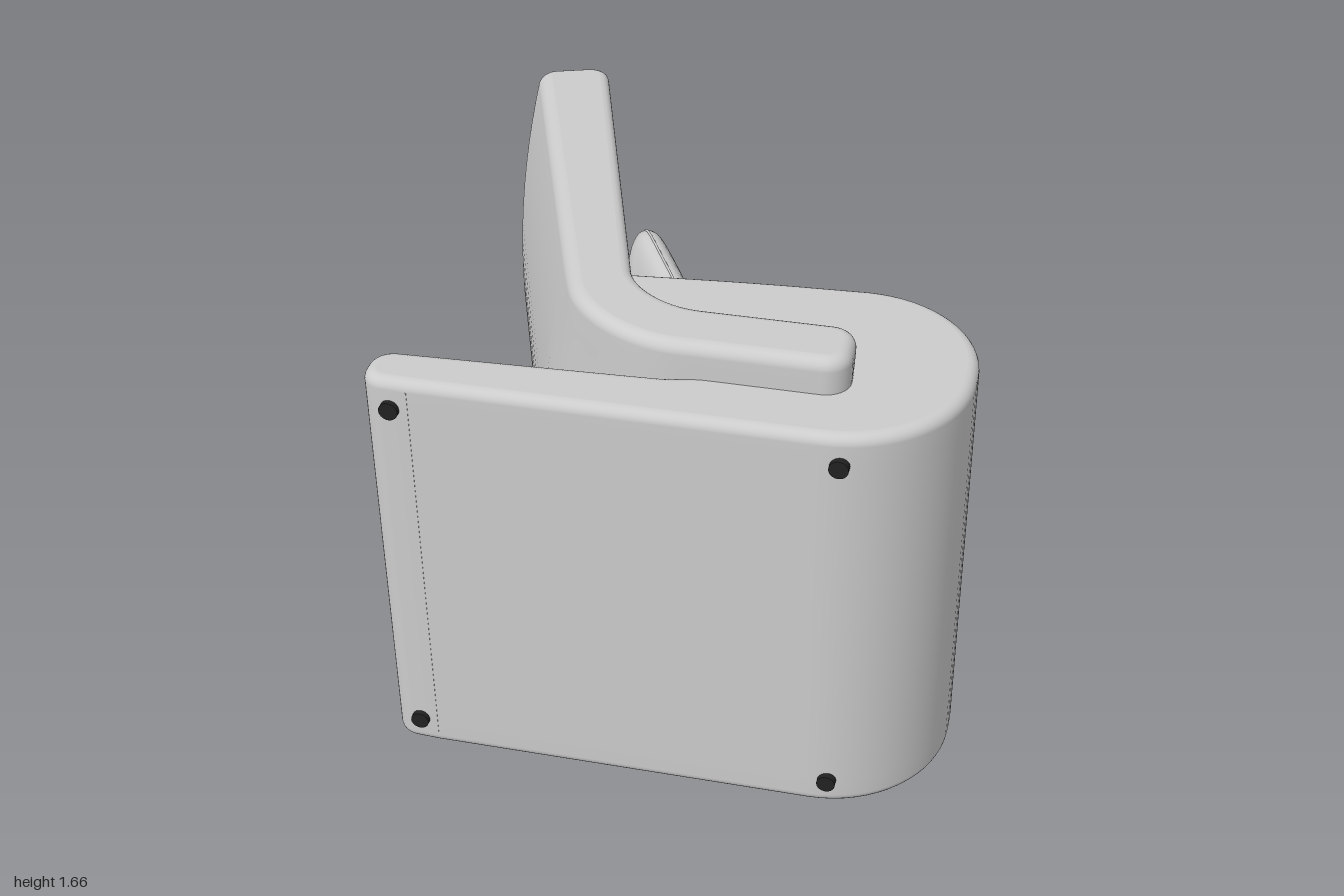
import * as THREE from 'three';
import { mergeVertices } from 'three/addons/utils/BufferGeometryUtils.js';

const fabric = new THREE.MeshStandardMaterial({ color: 0xcccccc });
fabric.name = 'light grey upholstery';
const rubber = new THREE.MeshStandardMaterial({ color: 0x222222 });
rubber.name = 'black feet';

// Closed outline in (x, z) from corners [x, z, rounding], with even spacing.
function roundedOutline(corners) {
  const n = corners.length, pts = [];
  const V = c => new THREE.Vector2(c[0], c[1]);
  const add = p => {
    const last = pts[pts.length - 1];
    if (last) {
      const steps = Math.ceil(last.distanceTo(p) / 0.06);
      if (last.distanceTo(p) < 1e-4) return;
      for (let s = 1; s < steps; s++) pts.push(last.clone().lerp(p, s / steps));
    }
    pts.push(p);
  };
  corners.forEach((c, i) => {
    const p = V(c), r = c[2];
    if (!r) return add(p);
    const toward = q => q.sub(p).normalize().multiplyScalar(r).add(p);
    const a = toward(V(corners[(i + n - 1) % n])), b = toward(V(corners[(i + 1) % n]));
    const arc = new THREE.CubicBezierCurve(a, a.clone().lerp(p, 0.55), b.clone().lerp(p, 0.55), b);
    arc.getPoints(r > 0.15 ? 16 : 8).forEach(add);
  });
  add(pts[0].clone());
  pts.pop();
  return THREE.ShapeUtils.isClockWise(pts) ? pts.reverse() : pts;
}

// Upholstered slab: outline swept along y with rounded rims and a bulge rule.
function cushionSlab(corners, centre, half, rim, bulge) {
  const outline = roundedOutline(corners), n = outline.length;
  const inward = outline.map((p, i) => {
    const t = outline[(i + 1) % n].clone().sub(outline[(i + n - 1) % n]).normalize();
    return new THREE.Vector2(-t.y, t.x);
  });
  const stations = [];
  const R = 6, M = 20;
  for (let k = 0; k <= R; k++) {
    const a = (1 - k / R) * Math.PI / 2;
    stations.push([half - rim + rim * Math.sin(a), rim * (1 - Math.cos(a))]);
  }
  for (let k = 1; k < M; k++) stations.push([(half - rim) * (1 - 2 * k / M), 0]);
  for (let k = R; k >= 0; k--) stations.push([-stations[k][0], stations[k][1]]);

  const pos = [], idx = [];
  const ring = ([y, inset]) => outline.forEach((p, i) => {
    const x = p.x + inward[i].x * inset, z = p.y + inward[i].y * inset;
    const [dx, dz] = bulge(x, z, 1 - (y / half) ** 2);
    pos.push(x + dx, centre + y, z + dz);
  });
  stations.forEach(ring);
  for (let k = 0; k < stations.length - 1; k++) {
    for (let i = 0; i < n; i++) {
      const j = (i + 1) % n, a = k * n + i, b = k * n + j;
      idx.push(a, b, b + n, a, b + n, a + n);
    }
  }
  // Flat end faces
  const rims = outline.map((p, i) => p.clone().addScaledVector(inward[i], rim));
  const faces = THREE.ShapeUtils.triangulateShape(rims, []);
  [stations[0], stations[stations.length - 1]].forEach((s, e) => {
    const base = pos.length / 3;
    ring(s);
    faces.forEach(([a, b, c]) => (e ? idx.push(base + a, base + b, base + c) : idx.push(base + a, base + c, base + b)));
  });
  const g = new THREE.BufferGeometry();
  g.setAttribute('position', new THREE.Float32BufferAttribute(pos, 3));
  g.setIndex(idx);
  g.computeVertexNormals();
  return g;
}

// Squared-off outline factor for the pillow
const squircle = (c, s) => Math.pow(Math.abs(c) ** 7 + Math.abs(s) ** 7, -1 / 7);

function pillowGeometry(length, height, thick) {
  const g = new THREE.SphereGeometry(1, 64, 40).rotateX(Math.PI / 2);
  const p = g.attributes.position;
  for (let i = 0; i < p.count; i++) {
    const x = p.getX(i), y = p.getY(i), z = p.getZ(i);
    const rho = Math.hypot(x, y);
    const k = rho > 1e-6 ? squircle(x / rho, y / rho) : 1;
    const crease = 1 + 0.03 * Math.sin(y * 28) * (1 - y * y);
    p.setXYZ(i, x * k * length, y * k * height, Math.sign(z) * Math.abs(z) ** 0.85 * thick * crease);
  }
  g.deleteAttribute('uv');
  g.deleteAttribute('normal');
  const m = mergeVertices(g, 1e-5);
  m.computeVertexNormals();
  return m;
}

export function createModel() {
  const model = new THREE.Group();
  const add = (name, geometry, material, parent = model) => {
    const mesh = new THREE.Mesh(geometry, material);
    mesh.name = name;
    parent.add(mesh);
    return mesh;
  };

  // Base plate curling round into the seat cushion
  const seat = [
    [-0.85, 0.815, 0.07], [0.05, 0.772, 0.05], [0.15, 0.745, 0.04], [0.55, 0.745, 0.05],
    [0.55, 0.585, 0.05], [-0.05, 0.585, 0.1], [-0.3, 0.22, 0.06], [0.2, 0.17, 0.15],
    [0.55, 0.15, 0], [0.94, 0.15, 0.385], [0.94, 0.985, 0.4], [-0.7, 0.985, 0], [-0.85, 0.978, 0.07],
  ];
  add('seatAndBase', cushionSlab(seat, 0.835, 0.715, 0.035, (x, z, m) =>
    [0, -0.025 * m * (1 - THREE.MathUtils.smoothstep(z, 0.2, 0.5))]), fabric);

  // Backrest bending into the tongue held by the seat slot
  const back = [
    [-0.845, -0.935, 0.06], [-0.605, -1.02, 0.08], [-0.1, 0.552, 0.2],
    [0.585, 0.552, 0.08], [0.585, 0.775, 0.08], [-0.23, 0.775, 0.3],
  ];
  add('backrest', cushionSlab(back, 0.8325, 0.8325, 0.04, (x, z, m) => {
    const w = 0.105 * m * (1 - THREE.MathUtils.smoothstep(z, 0.35, 0.75));
    return [-0.95 * w, 0.32 * w];
  }), fabric);

  // Lumbar pillow with piping round its edge
  const pillow = new THREE.Group();
  pillow.name = 'pillow';
  pillow.position.set(-0.18, 0.835, -0.07);
  pillow.rotation.y = Math.atan2(0.88, -0.475);
  model.add(pillow);
  add('pillowBody', pillowGeometry(0.275, 0.615, 0.12), fabric, pillow);
  const rimPoints = [];
  for (let i = 0; i < 64; i++) {
    const c = Math.cos(i * Math.PI / 32), s = Math.sin(i * Math.PI / 32), k = squircle(c, s);
    rimPoints.push(new THREE.Vector3(c * k * 0.275, s * k * 0.613, 0));
  }
  add('pillowPiping', new THREE.TubeGeometry(new THREE.CatmullRomCurve3(rimPoints, true), 160, 0.005, 6, true), fabric, pillow);

  // Seam across the base plate
  add('baseSeam', new THREE.BoxGeometry(0.004, 1.36, 0.004), fabric).position.set(-0.7, 0.835, 0.9845);

  // Four round feet
  for (const x of [-0.755, 0.6]) {
    for (const y of [0.22, 1.45]) {
      add('foot', new THREE.CylinderGeometry(0.03, 0.03, 0.03, 20).rotateX(Math.PI / 2), rubber).position.set(x, y, 0.985);
    }
  }
  return model;
}
